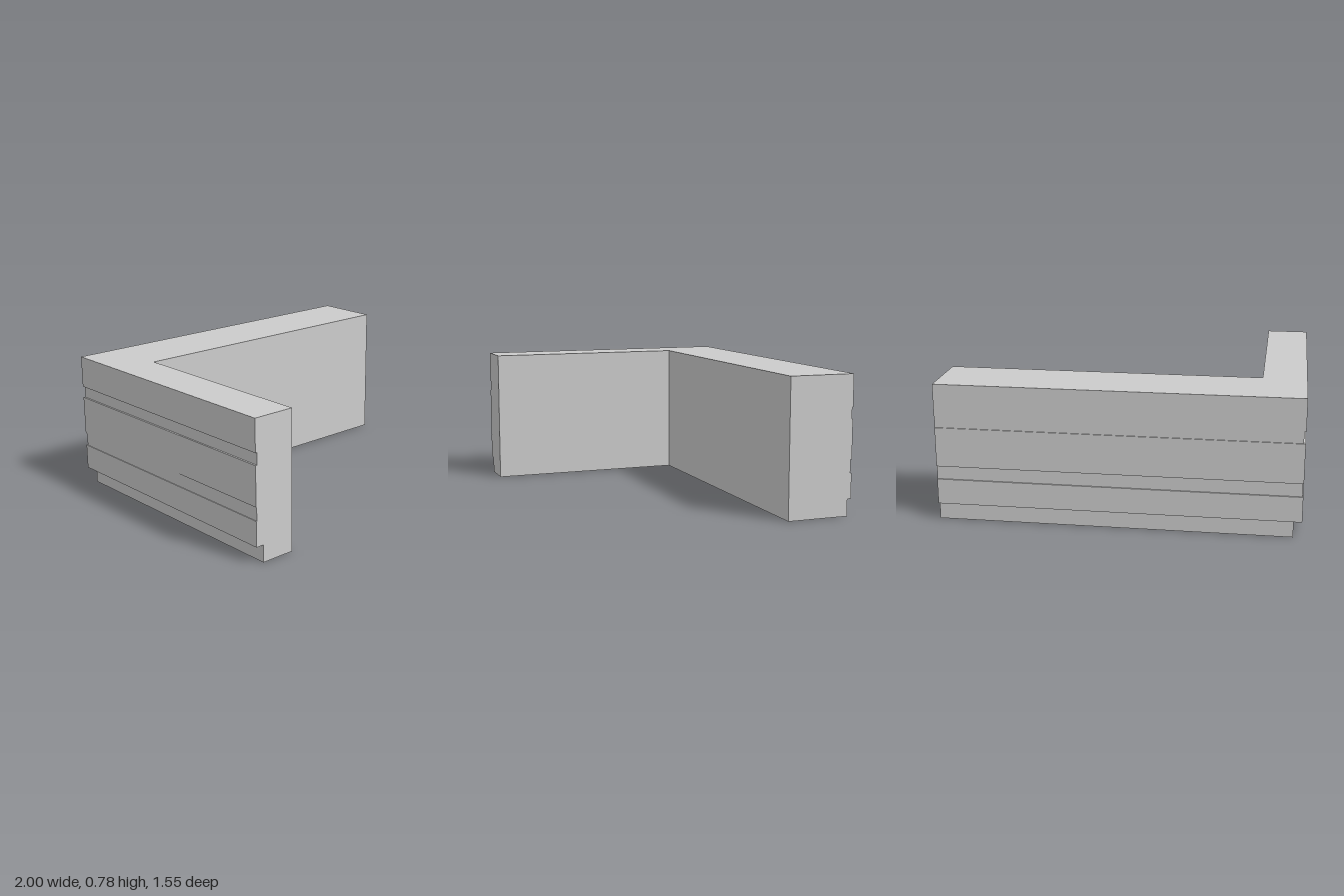
import * as THREE from 'three';

// Outer-face profile from bottom to top: [y, inset on the side wing, inset on the back wing]
const PROFILE = [
  [0, 0.045, 0.022], [0.097, 0.045, 0.022],                          // plinth recess
  [0.097, 0, 0], [0.24, 0, 0],
  [0.24, 0.004, 0.008], [0.315, 0.004, 0.008],                       // lower groove
  [0.315, 0, 0], [0.537, 0, 0],
  [0.537, 0.01, 0.006], [0.603, 0.01, 0.006],                        // upper groove
  [0.603, 0, 0], [0.783, 0, 0],
];

// L-shaped footprint at one height of the profile
function ring([y, insetX, insetZ]) {
  const x = -1 + insetX, z = -0.773 + insetZ;
  return [[x, 0.773], [x, z], [1, z], [1, -0.393], [-0.757, -0.393], [-0.757, 0.773]]
    .map(([px, pz]) => [px, y, pz]);
}

function counterGeometry() {
  const pos = [];
  const quad = (a, b, c, d) => pos.push(...a, ...b, ...c, ...a, ...c, ...d);
  const rings = PROFILE.map(ring);

  // Walls; horizontal steps exist only on the two outer faces
  for (let k = 0; k < rings.length - 1; k++) {
    const lo = rings[k], hi = rings[k + 1];
    const isStep = lo[0][1] === hi[0][1];
    for (let i = 0; i < (isStep ? 2 : 6); i++) {
      const j = (i + 1) % 6;
      quad(lo[i], hi[i], hi[j], lo[j]);
    }
  }

  // Underside and top
  const b = rings[0], t = rings[rings.length - 1];
  quad(b[0], b[1], b[4], b[5]);
  quad(b[1], b[2], b[3], b[4]);
  quad(t[5], t[4], t[1], t[0]);
  quad(t[4], t[3], t[2], t[1]);

  const geometry = new THREE.BufferGeometry();
  geometry.setAttribute('position', new THREE.Float32BufferAttribute(pos, 3));
  geometry.computeVertexNormals();
  return geometry;
}

export function createModel() {
  const group = new THREE.Group();
  group.name = 'cornerCounter';
  const material = new THREE.MeshStandardMaterial({ color: 0xcccccc, flatShading: true });
  const body = new THREE.Mesh(counterGeometry(), material);
  body.name = 'counterBody';
  group.add(body);
  return group;
}
